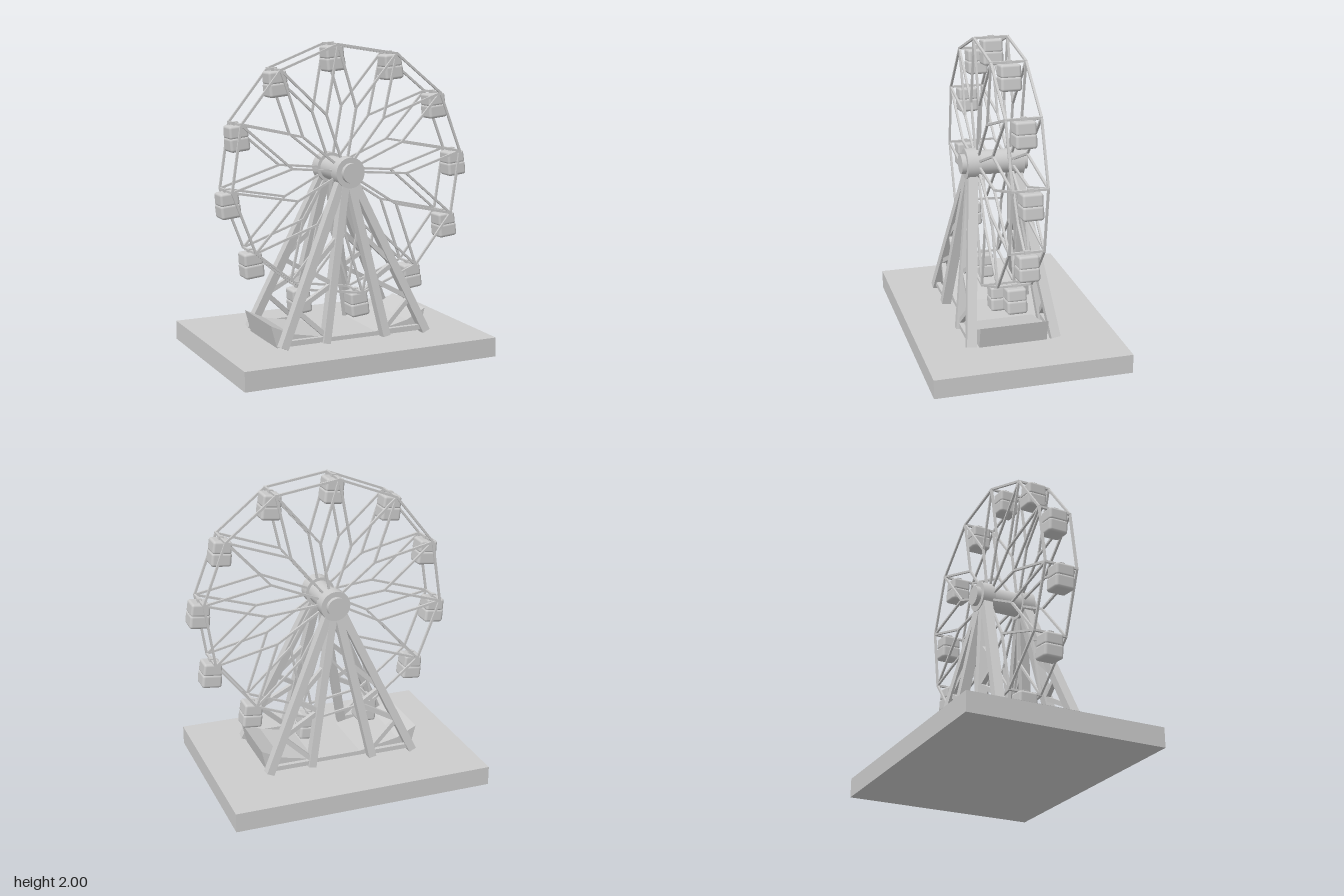
import * as THREE from 'three';
import { RoundedBoxGeometry } from 'three/addons/geometries/RoundedBoxGeometry.js';

const V = (x, y, z) => new THREE.Vector3(x, y, z);
const grey = new THREE.MeshStandardMaterial({ color: 0xcccccc });

const MID_Z = 0.043; // depth of the wheel's middle plane
const AXLE = { x: -0.022, y: 1.188 };
const WHEEL = { x: 0.015, y: 1.188, outer: 0.806, inner: 0.403 };
const CABINS = 12;

function add(parent, name, geometry, x = 0, y = 0, z = 0) {
  const mesh = new THREE.Mesh(geometry, grey);
  mesh.name = name;
  mesh.position.set(x, y, z);
  parent.add(mesh);
  return mesh;
}

// Rectangular bar from a to b; its depth side stays as near to z as possible
function beam(parent, name, a, b, width, depth) {
  const dir = b.clone().sub(a);
  const mid = a.clone().add(b).multiplyScalar(0.5);
  const mesh = add(parent, name, new THREE.BoxGeometry(width, dir.length(), depth), mid.x, mid.y, mid.z);
  dir.normalize();
  const ref = Math.abs(dir.z) > 0.9 ? V(0, 1, 0) : V(0, 0, 1);
  const side = dir.clone().cross(ref).normalize();
  const out = side.clone().cross(dir);
  mesh.quaternion.setFromRotationMatrix(new THREE.Matrix4().makeBasis(side, dir, out));
  return mesh;
}

function rimPoint(i, radius, degrees, z) {
  const a = THREE.MathUtils.degToRad(degrees + (i * 360) / CABINS);
  return V(WHEEL.x + radius * Math.cos(a), WHEEL.y + radius * Math.sin(a), z);
}

function createWheel() {
  const wheel = new THREE.Group();
  wheel.name = 'wheel';
  const t = 0.014;
  const outer = (i, z) => rimPoint(i, WHEEL.outer, 6.2, z);
  const inner = (i, z) => rimPoint(i, WHEEL.inner, 24.7, z);
  for (const z of [MID_Z - 0.109, MID_Z + 0.109]) {
    const hub = V(AXLE.x, AXLE.y, z);
    for (let i = 0; i < CABINS; i++) {
      beam(wheel, 'rimBar', outer(i, z), outer(i + 1, z), t, t);
      beam(wheel, 'spoke', hub, inner(i, z), t, t);
      beam(wheel, 'forkBar', inner(i, z), outer(i, z), t, t);
      beam(wheel, 'forkBar', inner(i, z), outer(i + 1, z), t, t);
    }
  }
  // Cross bars joining the two rims
  for (let i = 0; i < CABINS; i++) {
    beam(wheel, 'crossBar', outer(i, MID_Z - 0.116), outer(i, MID_Z + 0.116), t, t);
  }
  return wheel;
}

function createCabin(i) {
  const cabin = new THREE.Group();
  cabin.name = 'cabin';
  cabin.position.copy(rimPoint(i, WHEEL.outer, 6.2, MID_Z));
  cabin.rotation.z = THREE.MathUtils.degToRad(6);
  add(cabin, 'hanger', new THREE.BoxGeometry(0.03, 0.035, 0.035), 0, -0.005, 0);
  // Lower tub and slightly narrower, tapering canopy
  add(cabin, 'tub', new RoundedBoxGeometry(0.13, 0.09, 0.13, 3, 0.018), 0, -0.125, 0);
  const canopy = new RoundedBoxGeometry(0.126, 0.082, 0.126, 3, 0.016);
  const p = canopy.attributes.position;
  for (let k = 0; k < p.count; k++) {
    const s = 1 - 0.8 * (p.getY(k) + 0.041);
    p.setX(k, p.getX(k) * s);
  }
  add(cabin, 'canopy', canopy, 0, -0.049, 0);
  return cabin;
}

function createAxle() {
  const axle = new THREE.Group();
  axle.name = 'axle';
  const disc = (name, radius, z0, z1) => {
    const g = new THREE.CylinderGeometry(radius, radius, Math.abs(z1 - z0), 40).rotateX(Math.PI / 2);
    add(axle, name, g, AXLE.x, AXLE.y, MID_Z + (z0 + z1) / 2);
  };
  disc('shaft', 0.078, -0.12, 0.12);
  for (const s of [-1, 1]) {
    disc('drum', 0.098, s * 0.1, s * 0.187);
    disc('cap', 0.064, s * 0.18, s * 0.217);
  }
  return axle;
}

// One A-frame; s is +1 for the front, -1 for the back
function createSupport(s) {
  const support = new THREE.Group();
  support.name = s > 0 ? 'frontSupport' : 'backSupport';
  const bottom = 0.135, top = 1.17;
  for (const m of [-1, 1]) {
    const at = (foot, head, y) => {
      const k = (y - bottom) / (top - bottom);
      return V(-0.03 + m * THREE.MathUtils.lerp(foot, head, k), y, MID_Z + s * THREE.MathUtils.lerp(0.277, 0.14, k));
    };
    const outer = (y) => at(0.5, 0.025, y);
    const inner = (y) => at(0.212, 0.008, y);
    beam(support, 'outerLeg', outer(bottom), outer(top), 0.052, 0.062);
    beam(support, 'innerLeg', inner(bottom), inner(top), 0.05, 0.062);
    // Zigzag bracing
    beam(support, 'footBrace', inner(0.165), outer(0.165), 0.03, 0.03);
    const zig = [inner(0.18), outer(0.36), inner(0.5), outer(0.59), inner(0.79)];
    for (let i = 0; i < zig.length - 1; i++) beam(support, 'brace', zig[i], zig[i + 1], 0.03, 0.03);
  }
  return support;
}

export function createModel() {
  const model = new THREE.Group();
  model.name = 'ferrisWheel';

  add(model, 'base', new THREE.BoxGeometry(1.72, 0.125, 1.275), -0.045, 0.0625, 0);

  // Boarding platform with upturned ends
  const profile = [
    [-0.545, 0.12], [0.465, 0.12], [0.5, 0.27], [0.37, 0.205],
    [0.14, 0.153], [-0.18, 0.153], [-0.45, 0.205], [-0.585, 0.27],
  ];
  const shape = new THREE.Shape(profile.map(([x, y]) => new THREE.Vector2(x, y)));
  add(model, 'platform', new THREE.ExtrudeGeometry(shape, { depth: 0.445, bevelEnabled: false }), 0, 0, MID_Z - 0.2225);

  model.add(createSupport(1), createSupport(-1), createAxle(), createWheel());
  for (let i = 0; i < CABINS; i++) model.add(createCabin(i));
  return model;
}
